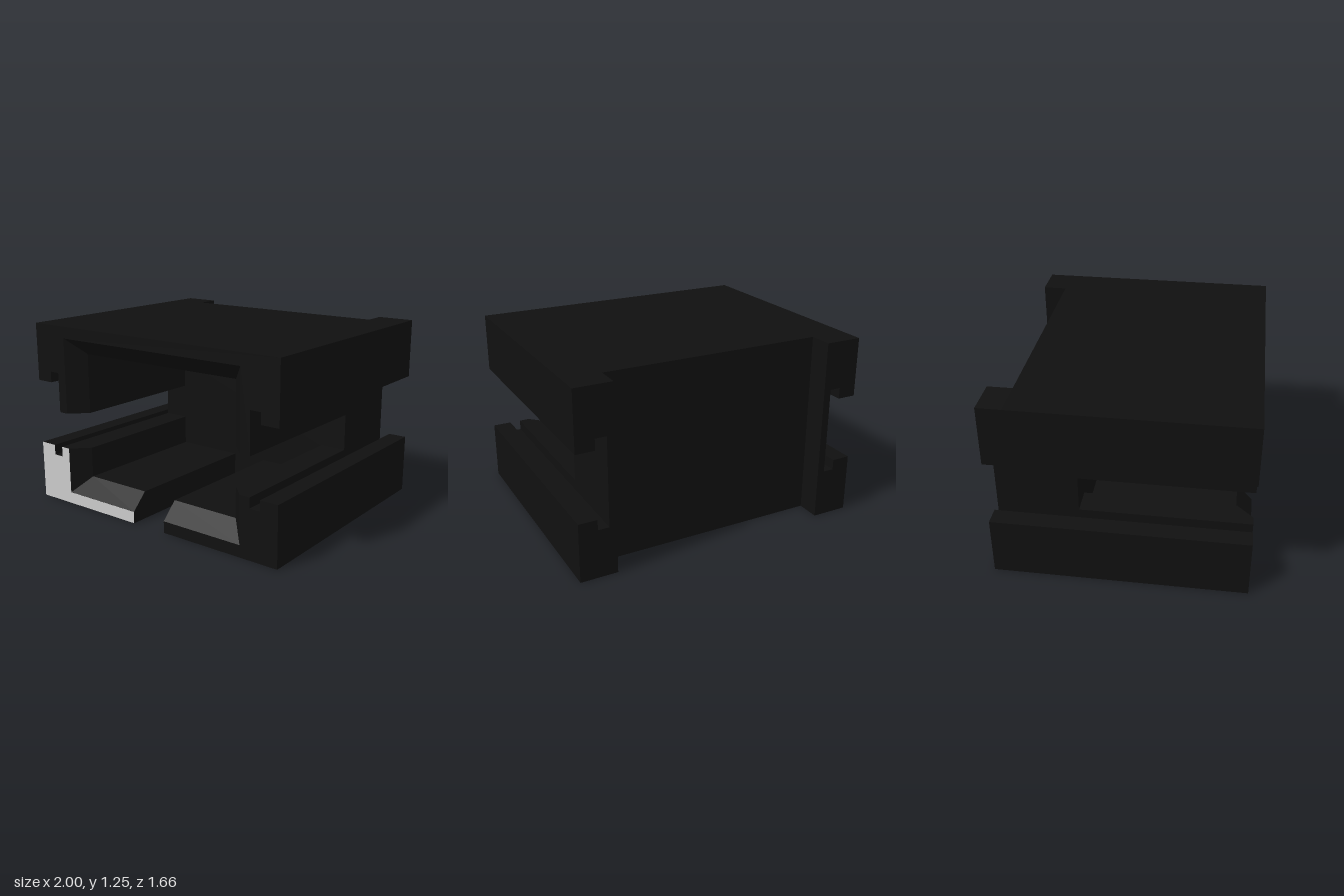
import * as THREE from 'three';

const black = new THREE.MeshStandardMaterial({ color: 0x101010, flatShading: true });
const grey = new THREE.MeshStandardMaterial({ color: 0xcccccc, flatShading: true });

const BACK = -0.83, RECESS = -0.67, CAVITY = -0.29, MOUTH = 0.72, FRONT = 0.83;

// Outer right-hand edge (+x) with the T-shaped channel, in two halves going upwards
const sideLow = [[1, 0], [1, 0.4], [0.875, 0.4], [0.875, 0.33], [0.8, 0.33]];
const sideHigh = [[0.8, 0.925], [0.875, 0.925], [0.875, 0.85], [1, 0.85], [1, 1.25]];
const mirror = pts => pts.map(([x, y]) => [-x, y]).reverse();
const toShape = pts => new THREE.Shape(pts.map(([x, y]) => new THREE.Vector2(x, y)));

function prism(name, pts, z0, z1, steps = 1) {
  const geo = new THREE.ExtrudeGeometry(toShape(pts), { depth: z1 - z0, steps, bevelEnabled: false });
  geo.translate(0, 0, z0);
  const mesh = new THREE.Mesh(geo, black);
  mesh.name = name;
  return mesh;
}

// Front shell part: drawn at its wide mouth, narrowed behind the mouth to form the chamfer
function chamferedShell(name, pts) {
  const mesh = prism(name, pts, CAVITY, FRONT, 2);
  const p = mesh.geometry.attributes.position;
  const near = (a, b) => Math.abs(a - b) < 1e-3;
  for (let i = 0; i < p.count; i++) {
    const x = p.getX(i), y = p.getY(i), z = p.getZ(i);
    if (near(z, FRONT)) continue;
    if (near(Math.abs(x), 0.73)) p.setX(i, Math.sign(x) * 0.62);
    if (near(y, 0.08)) p.setY(i, 0.19);
    if (near(y, 1.17)) p.setY(i, 1.06);
    if (!near(z, CAVITY)) p.setZ(i, MOUTH);
  }
  mesh.geometry.computeVertexNormals();
  return mesh;
}

export function createModel() {
  const model = new THREE.Group();
  model.name = 'connectorHousing';

  // Solid block behind the cavity
  const side = [...sideLow, ...sideHigh];
  model.add(prism('rearBlock', [...side, ...mirror(side)], RECESS, CAVITY));

  // Two posts flanking the recess in the back
  const post = [[0.75, 0], ...side, [0.75, 1.25]];
  model.add(prism('leftRearPost', post, BACK, RECESS));
  model.add(prism('rightRearPost', mirror(post), BACK, RECESS));

  // Roof and upper walls
  const archRight = [[0.73, 0.65], [0.8, 0.65], ...sideHigh];
  model.add(chamferedShell('upperShell', [
    ...archRight, ...mirror(archRight), [-0.73, 1.17], [0.73, 1.17],
  ]));

  // Lower walls with the floor halves, split by the floor slot
  const lower = [[0.13, 0], ...sideLow, [0.8, 0.4], [0.73, 0.4], [0.73, 0.08], [0.13, 0.08]];
  model.add(chamferedShell('leftLowerShell', lower));
  model.add(chamferedShell('rightLowerShell', mirror(lower)));

  // Grey end face on one lower shell
  const face = new THREE.Mesh(new THREE.ShapeGeometry(toShape(mirror(lower))), grey);
  face.name = 'greyEndFace';
  face.position.z = FRONT + 0.001;
  model.add(face);

  return model;
}
